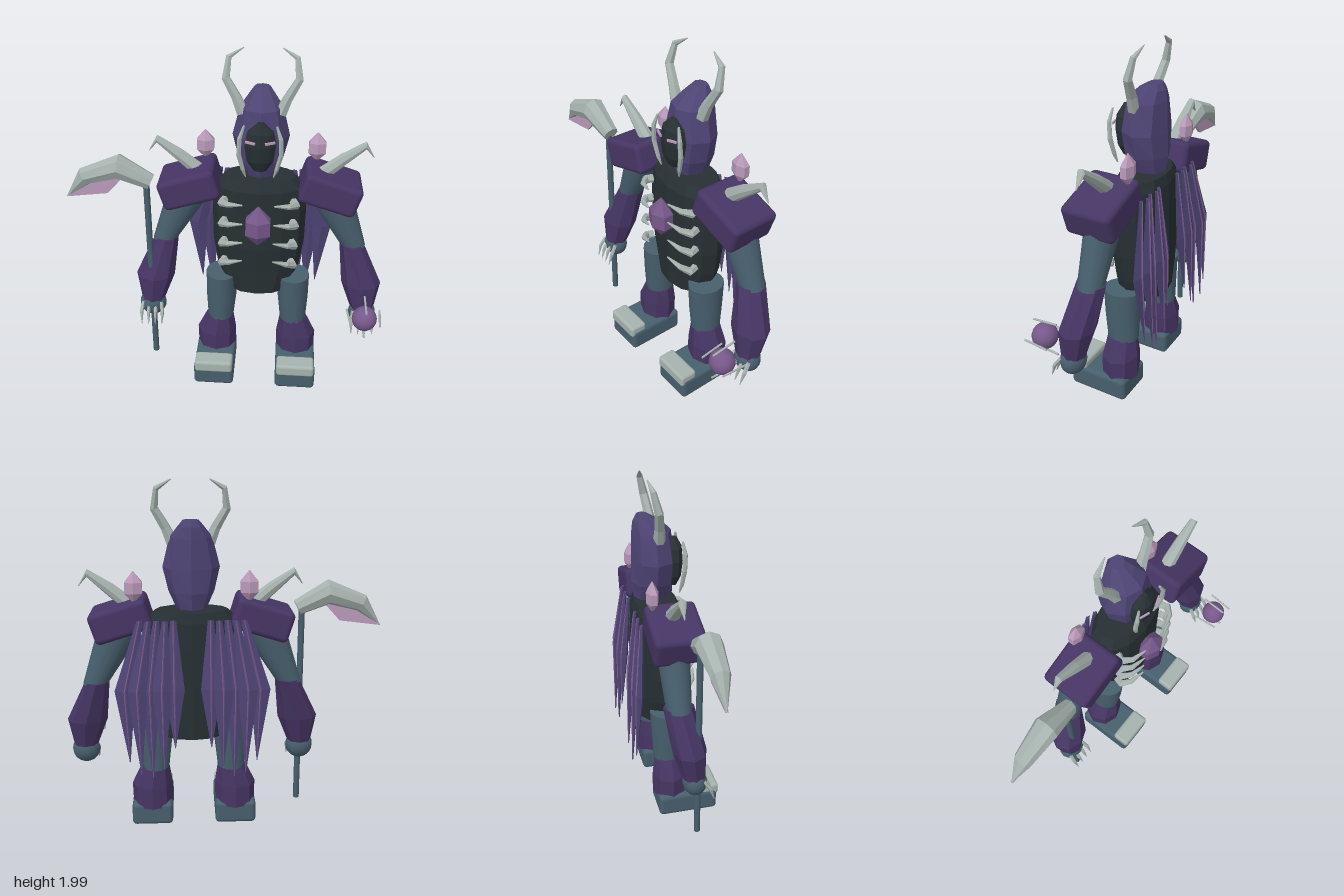
import * as THREE from 'three';
import { RoundedBoxGeometry } from 'three/addons/geometries/RoundedBoxGeometry.js';

const mat = (name, color) => Object.assign(new THREE.MeshStandardMaterial({ color }), { name });
const M = {
  purple: mat('cloth purple', 0x4e4474),
  plum: mat('armour plum', 0x463564),
  teal: mat('slate teal', 0x475f6d),
  dark: mat('charcoal', 0x273033),
  bone: mat('bone', 0xa6b2ae),
  gem: mat('gem violet', 0x76588a),
  pink: mat('pale pink', 0xba9abb),
};
const V = (x, y, z) => new THREE.Vector3(x, y, z);

// Skins a list of equal-sized rings and caps both ends; faceted unless smooth
function skin(rings, smooth) {
  const n = rings[0].length, pos = [], idx = [];
  const put = p => pos.push(p.x, p.y, p.z) / 3 - 1;
  rings.forEach(r => r.forEach(put));
  const at = (i, j) => i * n + (j % n);
  for (let i = 0; i < rings.length - 1; i++)
    for (let j = 0; j < n; j++)
      idx.push(at(i, j), at(i, j + 1), at(i + 1, j), at(i, j + 1), at(i + 1, j + 1), at(i + 1, j));
  const cap = (i, flip) => {
    const ring = rings[i];
    const mid = ring.reduce((a, p) => a.add(p), V(0, 0, 0)).divideScalar(n);
    const base = ring.map(put), c = put(mid);
    for (let j = 0; j < n; j++) {
      const a = base[j], b = base[(j + 1) % n];
      idx.push(c, flip ? b : a, flip ? a : b);
    }
  };
  cap(0, true);
  cap(rings.length - 1, false);
  let g = new THREE.BufferGeometry();
  g.setAttribute('position', new THREE.Float32BufferAttribute(pos, 3));
  g.setIndex(idx);
  if (!smooth) g = g.toNonIndexed();
  g.computeVertexNormals();
  return g;
}

// Level elliptical sections, bottom to top: [x, y, z, rx, rz]
function loft(sections, sides, smooth) {
  return skin(sections.map(([x, y, z, rx, rz]) => Array.from({ length: sides }, (_, j) => {
    const a = j / sides * Math.PI * 2;
    return V(x + Math.sin(a) * rx, y, z + Math.cos(a) * rz);
  })), smooth);
}

// Tapering tube along points [x, y, z, radius]
function horn(pts, sides = 6, smooth = false) {
  const c = pts.map(p => V(p[0], p[1], p[2])), last = c.length - 1;
  const d = c[last].clone().sub(c[0]).toArray().map(Math.abs);
  const ref = V(0, 0, 0).setComponent(d.indexOf(Math.min(...d)), 1);
  return skin(c.map((p, i) => {
    const t = c[Math.min(i + 1, last)].clone().sub(c[Math.max(i - 1, 0)]).normalize();
    const u = ref.clone().cross(t).normalize(), v = t.clone().cross(u);
    return Array.from({ length: sides }, (_, j) => {
      const a = j / sides * Math.PI * 2, r = pts[i][3];
      return p.clone().addScaledVector(u, Math.cos(a) * r).addScaledVector(v, Math.sin(a) * r);
    });
  }), smooth);
}

const crystal = (h, rx, rz) => loft([
  [0, -h, 0, 0.004, 0.004], [0, -h * 0.4, 0, rx, rz], [0, h * 0.3, 0, rx, rz], [0, h, 0, 0.002, 0.002]], 6);

export function createModel() {
  const root = new THREE.Group();
  root.name = 'hornedReaper';
  const body = new THREE.Group();
  body.name = 'body';
  body.position.x = 0.177;
  root.add(body);
  const add = (name, geo, material, x = 0, y = 0, z = 0, parent = body) => {
    const m = new THREE.Mesh(geo, material);
    m.name = name;
    m.position.set(x, y, z);
    parent.add(m);
    return m;
  };

  // Torso and chest gem
  add('torso', loft([
    [0, 0.57, -0.06, 0.19, 0.13], [0, 0.72, -0.06, 0.24, 0.135], [0, 0.88, -0.055, 0.262, 0.145],
    [0, 1.1, -0.055, 0.265, 0.145], [0, 1.24, -0.055, 0.25, 0.14], [0, 1.295, -0.06, 0.2, 0.12]], 12), M.dark);
  add('chestGem', crystal(0.122, 0.078, 0.06), M.gem, 0, 1.068, 0.128);

  // Hood, face and eyes
  add('hood', loft([
    [0, 1.31, -0.075, 0.085, 0.1], [0, 1.4, -0.07, 0.125, 0.12], [0, 1.53, -0.065, 0.155, 0.122],
    [0, 1.69, -0.072, 0.115, 0.11], [0, 1.75, -0.1, 0.07, 0.075], [0, 1.785, -0.12, 0.042, 0.035]], 8), M.purple);
  add('face', loft([
    [0, 1.37, 0.05, 0.035, 0.02], [0, 1.43, 0.05, 0.075, 0.045], [0, 1.52, 0.05, 0.088, 0.055],
    [0, 1.59, 0.05, 0.072, 0.05], [0, 1.645, 0.05, 0.015, 0.02]], 10), M.dark);

  for (const s of [-1, 1]) {
    const side = s > 0 ? 'left' : 'right';
    const part = (name, ...rest) => add(side + name, ...rest);
    const path = pts => pts.map(([x, y, z, r]) => [x * s, y, z, r]);

    part('Eye', new THREE.BoxGeometry(0.055, 0.012, 0.009), M.pink, s * 0.052, 1.55, 0.101)
      .rotation.set(0, s * 0.32, s * 0.08);
    part('HeadHorn', horn(path([
      [0.1, 1.66, -0.05, 0.036], [0.135, 1.74, -0.055, 0.028], [0.192, 1.84, -0.07, 0.024],
      [0.178, 1.945, -0.095, 0.017], [0.1, 1.992, -0.11, 0.003]])), M.bone);
    part('FaceTusk', horn(path([
      [0.085, 1.64, 0.085, 0.006], [0.108, 1.57, 0.095, 0.013], [0.112, 1.48, 0.09, 0.014],
      [0.09, 1.39, 0.08, 0.012], [0.075, 1.34, 0.07, 0.004]])), M.bone);

    // Ribs
    for (let i = 0; i < 4; i++) {
      const y = 1.18 - i * 0.13, lift = 0.025 + i * 0.012;
      part('Rib' + (i + 1), horn(path([
        [0.19, y, 0.04, 0.024], [0.205, y, 0.08, 0.023],
        [0.165, y + lift * 0.5, 0.125, 0.016], [0.085, y + lift, 0.15, 0.004]])), M.bone);
    }

    // Shoulder armour
    part('ShoulderPad', new RoundedBoxGeometry(0.325, 0.175, 0.282, 3, 0.03), M.plum, s * 0.387, 1.245, -0.035)
      .rotation.z = -s * 0.3;
    part('ShoulderSpike', horn(path([
      [0.33, 1.31, -0.04, 0.042], [0.45, 1.41, -0.04, 0.034], [0.565, 1.495, -0.04, 0.022],
      [0.612, 1.425, -0.04, 0.002]]), 8), M.bone);
    part('ShoulderCrystal', crystal(0.085, 0.054, 0.034), M.pink, s * 0.31, 1.435, -0.137);

    // Arm, hand and claws
    part('UpperArm', loft(path([
      [0.545, 0.87, -0.05, 0.07]]).map(p => [...p, 0.07]).concat([[s * 0.385, 1.2, -0.05, 0.13, 0.092]]), 16, true), M.teal);
    part('Forearm', loft([
      [s * 0.625, 0.48, 0.015, 0.07, 0.068], [s * 0.607, 0.64, -0.005, 0.114, 0.095],
      [s * 0.535, 0.885, -0.05, 0.068, 0.085]], 8), M.plum);
    part('Hand', new THREE.SphereGeometry(0.08, 14, 10), M.teal, s * 0.627, 0.445, 0.02).scale.z = 0.85;
    for (const k of [-1.5, -0.5, 0.5, 1.5])
      part('Claw', horn([
        [s * 0.627 + k * 0.036, 0.47, 0.06, 0.011], [s * 0.627 + k * 0.042, 0.42, 0.095, 0.012],
        [s * 0.627 + k * 0.04, 0.345, 0.12, 0.002]], 5), M.bone);

    // Leg and boot
    part('Thigh', loft([
      [s * 0.22, 0.35, -0.033, 0.078, 0.09], [s * 0.215, 0.5, -0.03, 0.09, 0.1],
      [s * 0.212, 0.66, -0.03, 0.093, 0.108]], 16, true), M.teal);
    part('Shin', loft([
      [s * 0.243, 0.11, -0.03, 0.115, 0.105], [s * 0.243, 0.24, -0.03, 0.118, 0.105],
      [s * 0.223, 0.36, -0.03, 0.08, 0.088]], 8), M.plum);
    part('Boot', new RoundedBoxGeometry(0.238, 0.137, 0.355, 3, 0.025), M.teal, s * 0.245, 0.0685, 0.062);
    part('ToePlate', new RoundedBoxGeometry(0.224, 0.075, 0.108, 3, 0.018), M.bone, s * 0.245, 0.137, 0.195);

    // Pointed cape strips with a fine spine down each
    for (let i = 0; i < 5; i++) {
      const top = 0.1 + i * 0.045, mid = 0.1 + i * 0.067, tip = 0.1 + i * 0.063;
      const low = [0.55, 0.43, 0.37, 0.4, 0.47][i], z = -0.2 - (i % 2) * 0.012;
      part('CapeStrip' + (i + 1), loft([
        [s * tip, low, z - 0.05, 0.002, 0.002], [s * mid, 0.88, z - 0.025, 0.056, 0.02],
        [s * top, 1.26, z + 0.01, 0.016, 0.008]], 4), M.purple);
      part('CapeSpine' + (i + 1), horn(path([
        [tip, low, z - 0.052, 0.002], [mid, 0.88, z - 0.045, 0.006], [top, 1.26, z + 0.002, 0.004]]), 4), M.gem);
    }
  }

  // Scythe in the right hand
  const scythe = new THREE.Group();
  scythe.name = 'scythe';
  root.add(scythe);
  add('shaft', new THREE.CylinderGeometry(0.018, 0.018, 1.215, 10), M.teal, -0.447, 0.692, 0.04, scythe);
  add('blade', horn([
    [-0.422, 1.272, 0.04, 0.046], [-0.595, 1.36, 0.04, 0.072], [-0.785, 1.295, 0.04, 0.052],
    [-0.9, 1.165, 0.04, 0.002]], 8), M.bone, 0, 0, 0, scythe);
  const edge = new THREE.Shape([[-0.9, 1.165], [-0.665, 1.195], [-0.57, 1.3], [-0.78, 1.29]]
    .map(p => new THREE.Vector2(...p)));
  add('bladeEdge', new THREE.ExtrudeGeometry(edge, { depth: 0.016, bevelEnabled: false }), M.pink, 0, 0, 0.032, scythe);

  // Orb with four rods floating before the left hand
  const orb = new THREE.Group();
  orb.name = 'floatingOrb';
  orb.position.set(0.8, 0.525, 0.2);
  root.add(orb);
  add('orb', new THREE.SphereGeometry(0.071, 20, 14), M.gem, 0, 0, 0, orb);
  for (let i = 0; i < 4; i++) {
    const x = Math.cos(i * Math.PI / 2), y = Math.sin(i * Math.PI / 2);
    add('orbRod' + (i + 1), horn([
      [x * 0.095, y * 0.095, -0.08, 0.006], [x * 0.082, y * 0.082, 0.068, 0.006]], 6), M.bone, 0, 0, 0, orb);
  }
  return root;
}
